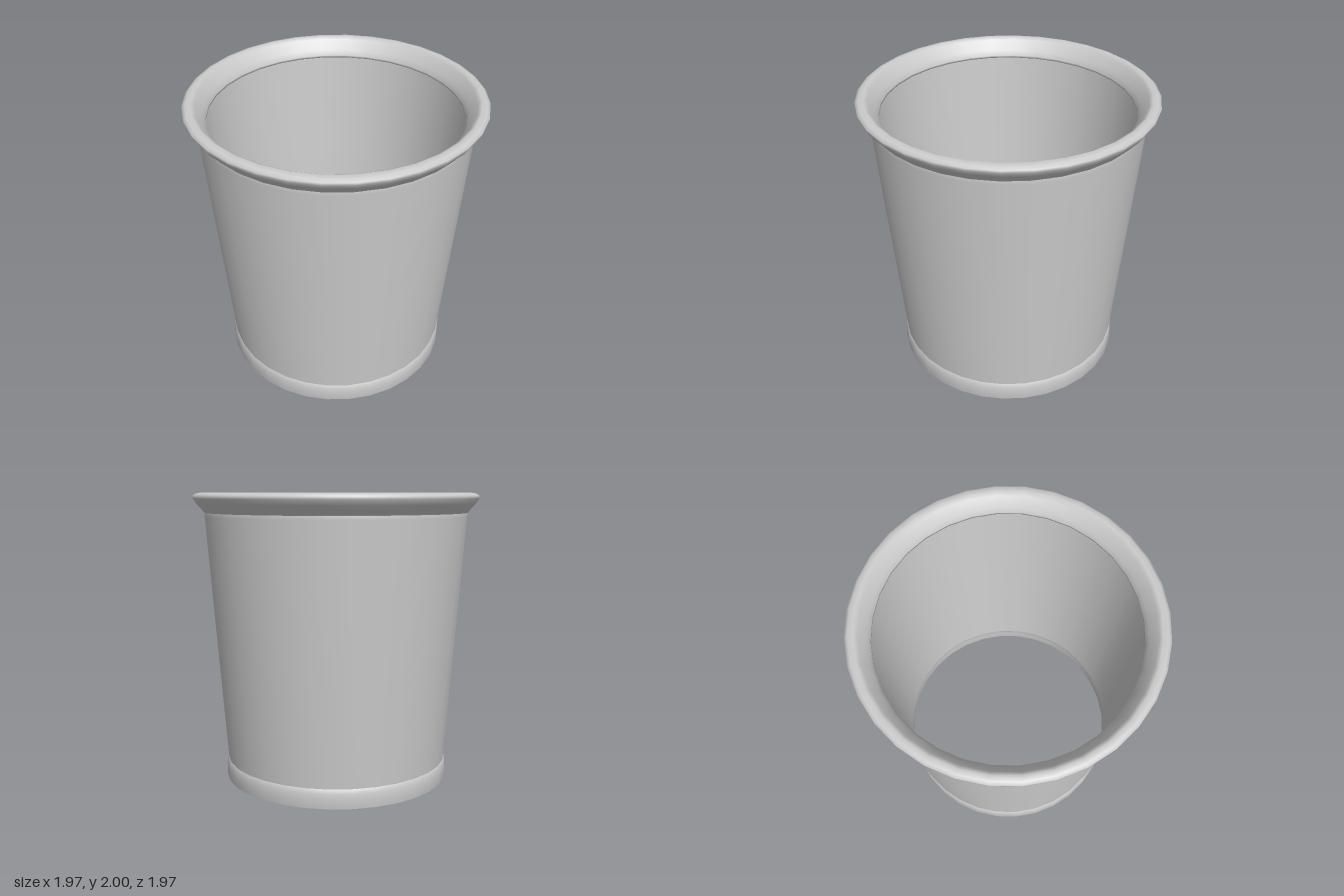
import * as THREE from 'three';

const SIDES = 32;
const material = new THREE.MeshStandardMaterial({ color: 0xcccccc, side: THREE.DoubleSide });

// Revolve a profile of [radius, height] pairs around the y axis
function revolve(name, profile) {
  const points = profile.map(([r, y]) => new THREE.Vector2(r, y));
  const mesh = new THREE.Mesh(new THREE.LatheGeometry(points, SIDES), material);
  mesh.name = name;
  return mesh;
}

export function createModel() {
  const group = new THREE.Group();
  group.name = 'openCup';

  // Thin tapered wall, open at both ends: up the outside, down the inside
  group.add(revolve('wall', [
    [0.778, 0.13], [0.782, 0.18], [0.844, 1.0], [0.906, 1.84], [0.908, 1.88],
    [0.898, 1.88], [0.896, 1.84], [0.834, 1.0], [0.775, 0.18], [0.772, 0.13],
  ]));

  // Slightly bulging foot band below the groove
  group.add(revolve('footBand', [
    [0.772, 0.13], [0.778, 0.13], [0.789, 0.1], [0.79, 0.06], [0.79, 0],
    [0.782, 0], [0.782, 0.06], [0.78, 0.1], [0.772, 0.13],
  ]));

  // Flared rim, with a lip that overhangs the inside of the wall
  group.add(revolve('rim', [
    [0.908, 1.865], [0.915, 1.875], [0.96, 1.925], [0.983, 1.96], [0.985, 1.98],
    [0.965, 1.993], [0.93, 2], [0.905, 1.985], [0.86, 1.92], [0.842, 1.885],
    [0.842, 1.87], [0.897, 1.86],
  ]));

  return group;
}
